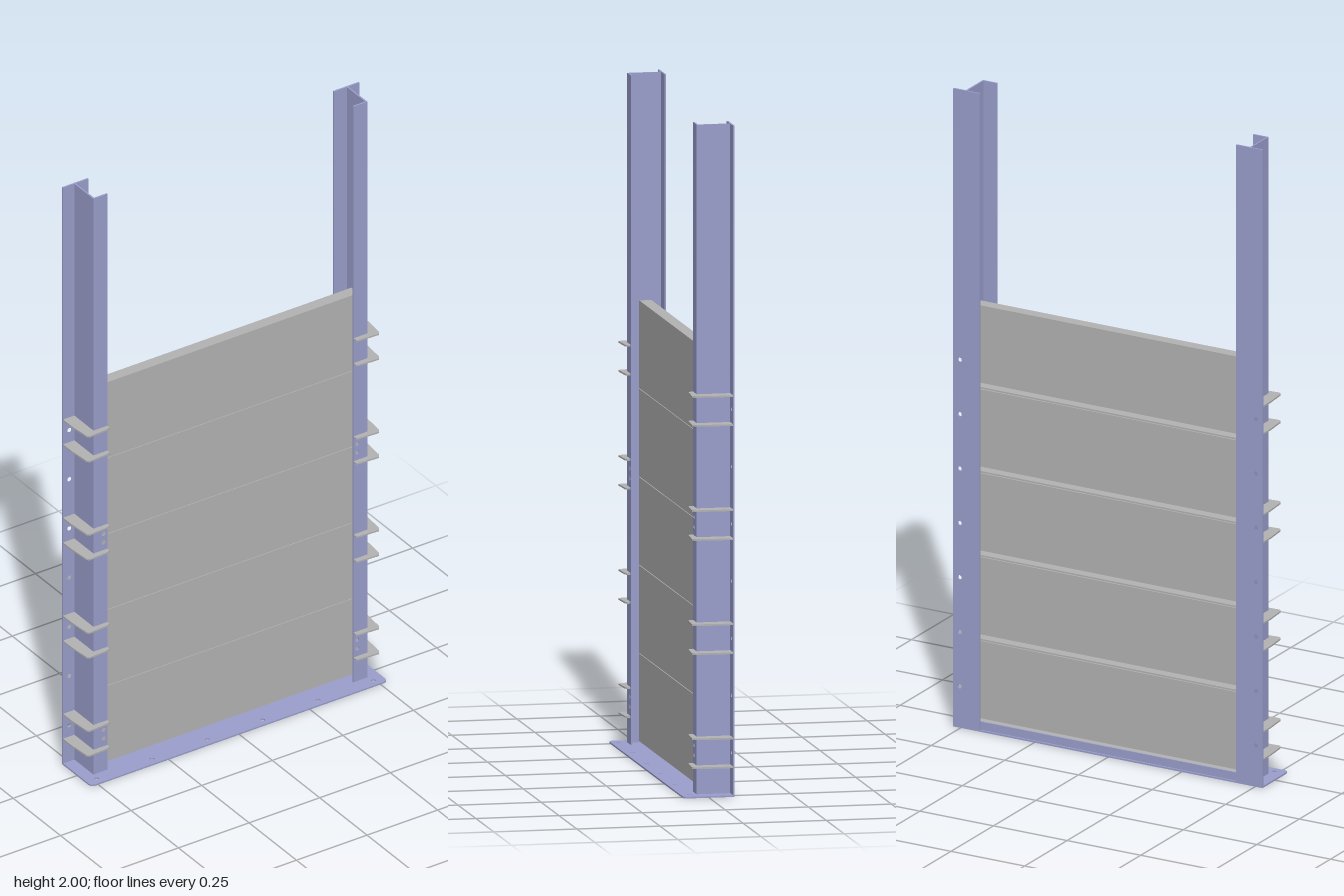
import * as THREE from 'three';

const steel = new THREE.MeshStandardMaterial({ color: 0x9a9ecb });
steel.name = 'blue steel';
const grey = new THREE.MeshStandardMaterial({ color: 0xb2b2b2 });
grey.name = 'grey metal';

const T = 0.005; // sheet thickness

function add(parent, name, geometry, material) {
  const mesh = new THREE.Mesh(geometry, material);
  mesh.name = name;
  parent.add(mesh);
  return mesh;
}

// Box given by its minimum and maximum corners
function box(parent, name, material, [x0, y0, z0], [x1, y1, z1]) {
  const g = new THREE.BoxGeometry(Math.abs(x1 - x0), y1 - y0, z1 - z0);
  g.translate((x0 + x1) / 2, (y0 + y1) / 2, (z0 + z1) / 2);
  return add(parent, name, g, material);
}

// Flat plate from an outline, with round holes [u, v]
function plate(points, holes, radius, depth) {
  const shape = new THREE.Shape(points.map(([u, v]) => new THREE.Vector2(u, v)));
  for (const [u, v] of holes) {
    shape.holes.push(new THREE.Path().absarc(u, v, radius, 0, Math.PI * 2, true));
  }
  return new THREE.ExtrudeGeometry(shape, { depth, bevelEnabled: false, curveSegments: 8 });
}

// Plate lying flat: outline given as [x, z], bottom at y
function flatPlate(points, holes, radius, depth, y) {
  const g = plate(points, holes, radius, depth);
  g.rotateX(Math.PI / 2);
  return g.translate(0, y + depth, 0);
}

const rect = (x0, y0, x1, y1) => [[x0, y0], [x1, y0], [x1, y1], [x0, y1]];

export function createModel() {
  const model = new THREE.Group();
  model.name = 'slidingGate';

  // Floor plate with clipped front corners, bolt holes and a rear upstand
  const sill = new THREE.Group();
  sill.name = 'sill';
  model.add(sill);
  const sillHoles = [-0.49, -0.294, -0.098, 0.098, 0.294, 0.49].map((x) => [x, 0.053]);
  const sillOutline = [
    [-0.525, -0.077], [0.525, -0.077], [0.525, 0.065], [0.521, 0.073], [0.513, 0.077],
    [-0.513, 0.077], [-0.521, 0.073], [-0.525, 0.065],
  ];
  add(sill, 'floorPlate', flatPlate(sillOutline, sillHoles, 0.007, T, 0), steel);
  box(sill, 'rearUpstand', steel, [-0.478, T, -0.0715], [0.478, 0.03, -0.0675]);

  for (const s of [-1, 1]) {
    // Guide post: wide back flange, web and inward front flange
    const post = new THREE.Group();
    post.name = s > 0 ? 'leftPost' : 'rightPost';
    model.add(post);

    const backHoles = [];
    for (let i = 0; i < 7; i++) backHoles.push([s * 0.503, 0.13 + i * 0.1705]);
    const back = plate(rect(s * 0.435, T, s * 0.525, 2), backHoles, 0.007, T);
    add(post, 'backFlange', back.translate(0, 0, -0.077), steel);

    box(post, 'web', steel, [s * 0.48, T, -0.072], [s * 0.485, 2, 0.024]);

    const frontHoles = [0.117, 0.147, 0.797, 0.827].map((y) => [s * 0.449, y]);
    const front = plate(rect(s * 0.435, T, s * 0.485, 2), frontHoles, 0.007, T);
    add(post, 'frontFlange', front.translate(0, 0, 0.024), steel);

    // Paired stiffening brackets wrapping the outside of the post
    const outline = [
      [0.525, -0.072], [0.525, -0.03], [0.519, 0.04], [0.512, 0.049], [0.445, 0.045],
      [0.436, 0.041], [0.436, 0.029], [0.485, 0.029], [0.485, -0.072],
    ].map(([x, z]) => [s * x, z]);
    for (let i = 0; i < 4; i++) {
      for (const y of [0.086, 0.172]) {
        add(post, 'bracket', flatPlate(outline, [], 0, T, y + i * 0.34), grey);
      }
    }
  }

  // Stacked gate panels: front sheet with flanges folded to the rear
  const bottom = 0.009, pitch = 0.263;
  for (let i = 0; i < 5; i++) {
    const y0 = bottom + i * pitch, y1 = y0 + pitch - 0.002;
    const panel = new THREE.Group();
    panel.name = 'panel' + (i + 1);
    model.add(panel);
    box(panel, 'frontSheet', grey, [-0.476, y0, -0.01], [0.476, y1, -0.005]);
    box(panel, 'topFlange', grey, [-0.476, y1 - T, -0.042], [0.476, y1, -0.01]);
    box(panel, 'bottomFlange', grey, [-0.476, y0, -0.042], [0.476, y0 + T, -0.01]);
  }

  return model;
}
